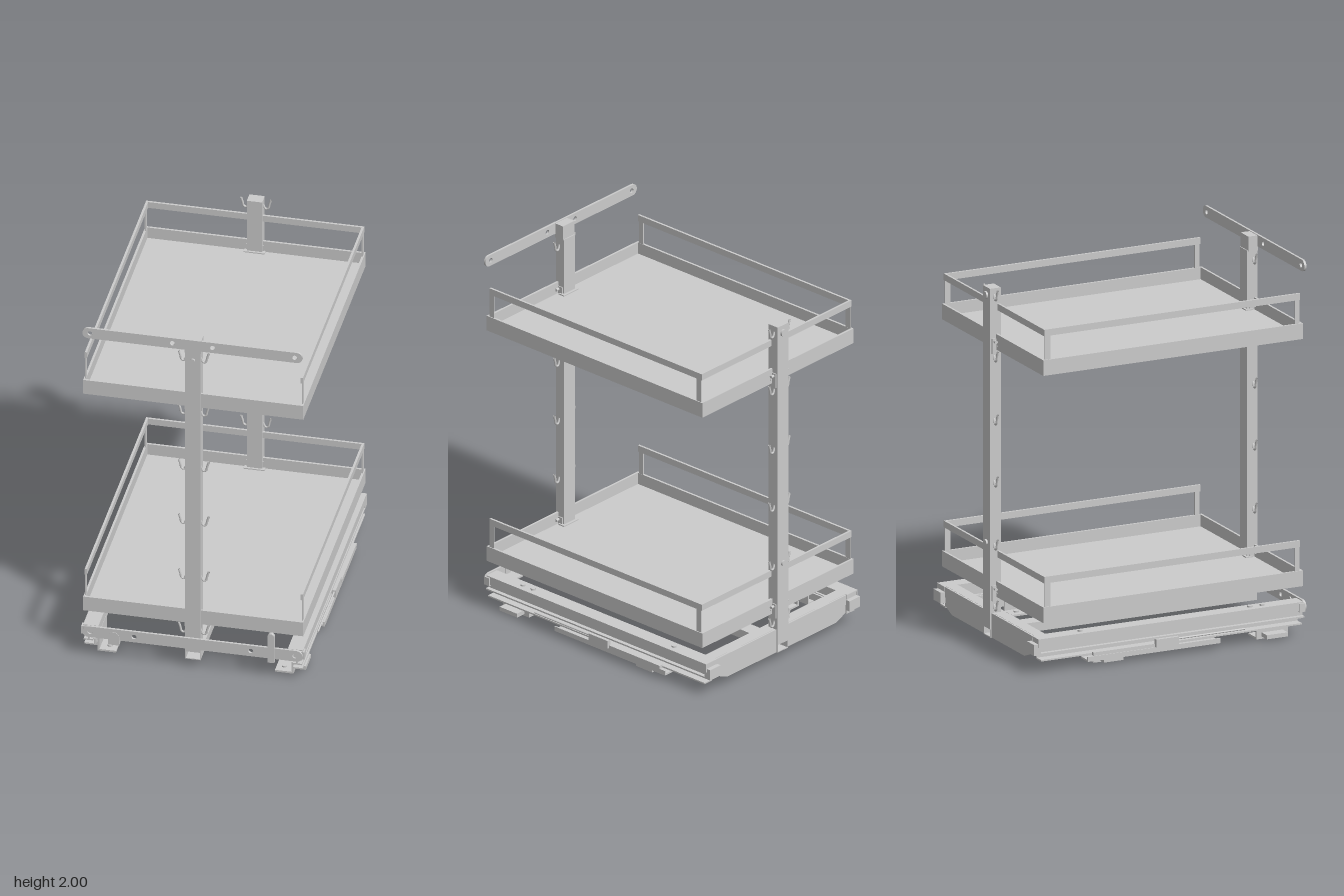
import * as THREE from 'three';

const mat = new THREE.MeshStandardMaterial({ color: 0xcccccc, side: THREE.DoubleSide });

function add(parent, name, geo, x = 0, y = 0, z = 0) {
  const m = new THREE.Mesh(geo, mat);
  m.name = name;
  m.position.set(x, y, z);
  parent.add(m);
  return m;
}

// Box given by its limits on each axis
function box(parent, name, x0, x1, y0, y1, z0, z1) {
  return add(parent, name, new THREE.BoxGeometry(Math.abs(x1 - x0), y1 - y0, z1 - z0),
    (x0 + x1) / 2, (y0 + y1) / 2, (z0 + z1) / 2);
}

// Outline in x/y pushed along z, with optional hole outlines
function prism(parent, name, pts, z0, z1, holes = []) {
  const s = new THREE.Shape(pts.map(p => new THREE.Vector2(...p)));
  for (const h of holes) s.holes.push(new THREE.Path(h.map(p => new THREE.Vector2(...p))));
  return add(parent, name, new THREE.ExtrudeGeometry(s, { depth: z1 - z0, bevelEnabled: false }), 0, 0, z0);
}

const rect = (x0, x1, y0, y1) => [[x0, y0], [x1, y0], [x1, y1], [x0, y1]];

// Flat bar with rounded ends and round holes
function roundedBar(parent, name, half, y0, y1, z0, z1, holeXs, holeR) {
  const r = (y1 - y0) / 2, c = (y0 + y1) / 2;
  const s = new THREE.Shape();
  s.absarc(half - r, c, r, -Math.PI / 2, Math.PI / 2, false);
  s.absarc(-half + r, c, r, Math.PI / 2, Math.PI * 1.5, false);
  s.closePath();
  for (const x of holeXs) {
    const h = new THREE.Path();
    h.absarc(x, c, holeR, 0, Math.PI * 2, true);
    s.holes.push(h);
  }
  add(parent, name, new THREE.ExtrudeGeometry(s, { depth: z1 - z0, bevelEnabled: false, curveSegments: 12 }), 0, 0, z0);
}

function cyl(parent, name, r, len, axis, x, y, z) {
  const m = add(parent, name, new THREE.CylinderGeometry(r, r, len, 16), x, y, z);
  if (axis === 'z') m.rotation.x = Math.PI / 2;
  if (axis === 'x') m.rotation.z = Math.PI / 2;
}

// Pair of upturned hooks, one on each side of a post
function hookPair(parent, y, z) {
  for (const s of [1, -1]) {
    const curve = new THREE.CatmullRomCurve3([[0.036, 0.005], [0.05, -0.022], [0.064, -0.018], [0.07, 0.005], [0.078, 0.032]]
      .map(([a, b]) => new THREE.Vector3(s * a, y + b, z)));
    add(parent, 'hook', new THREE.TubeGeometry(curve, 14, 0.006, 8));
  }
}

// Open tray with floor, four walls and a guard rail on three sides
function tray(parent, y) {
  const g = new THREE.Group();
  g.name = 'tray';
  g.position.y = y;
  parent.add(g);
  const X = 0.575, Z0 = -0.73, Z1 = 0.755, H = 0.083, T = 0.012;
  box(g, 'trayFloor', -X + T, X - T, 0.008, 0.02, Z0 + T, Z1 - T);
  box(g, 'frontWall', -X, X, 0, H, Z1 - T, Z1);
  box(g, 'backWall', -X, X, 0, H, Z0, Z0 + T);
  for (const s of [1, -1]) {
    box(g, 'sideWall', s * X, s * (X - T), 0, H, Z0 + T, Z1 - T);
    box(g, 'sideRail', s * 0.57, s * 0.558, 0.208, 0.243, -0.72, 0.74);
    box(g, 'frontRailSupport', s * 0.57, s * 0.564, H - 0.05, 0.215, 0.71, 0.738);
    box(g, 'backRailSupport', s * 0.57, s * 0.564, H - 0.05, 0.215, -0.718, -0.685);
  }
  box(g, 'backRail', -0.57, 0.57, 0.208, 0.243, -0.722, -0.71);
  // clips that hold the tray to the posts
  for (const e of [1, -1]) {
    const zi = e > 0 ? 0.692 : -0.692;
    box(g, 'trayClip', -0.055, 0.055, 0.018, 0.026, Math.min(zi, zi + e * 0.04), Math.max(zi, zi + e * 0.04));
    box(g, 'postBracket', -0.046, 0.046, -0.02, 0.06, e > 0 ? 0.715 : -0.755, e > 0 ? 0.757 : -0.715);
    for (const s of [1, -1]) cyl(g, 'clipScrew', 0.008, 0.025, 'x', s * 0.052, 0.045, e * 0.74);
  }
}

// Slide on one side; s is the sign of x
function slide(parent, s) {
  const g = new THREE.Group();
  g.name = 'slide';
  parent.add(g);
  const flip = pts => pts.map(([x, y]) => [s * x, y]);
  // top cover channel
  prism(g, 'topChannel', flip([[0.495, 0.135], [0.503, 0.135], [0.503, 0.178], [0.567, 0.178], [0.567, 0.14],
    [0.575, 0.14], [0.575, 0.186], [0.495, 0.186]]), -0.757, 0.757);
  // moving rail
  prism(g, 'movingRail', flip([[0.522, 0.1], [0.57, 0.1], [0.57, 0.108], [0.548, 0.108], [0.548, 0.13], [0.57, 0.13],
    [0.57, 0.14], [0.522, 0.14], [0.522, 0.13], [0.54, 0.13], [0.54, 0.108], [0.522, 0.108]]), -0.77, 0.765);
  // middle rail
  prism(g, 'middleRail', flip([[0.512, 0.065], [0.57, 0.065], [0.57, 0.073], [0.52, 0.073], [0.52, 0.095], [0.56, 0.095],
    [0.56, 0.104], [0.512, 0.104]]), -0.74, 0.75);
  // fixed rail
  prism(g, 'fixedRail', flip([[0.505, 0.032], [0.583, 0.032], [0.583, 0.058], [0.575, 0.058], [0.575, 0.042],
    [0.513, 0.042], [0.513, 0.11], [0.505, 0.11]]), -0.48, 0.28);
  box(g, 'damper', s * 0.57, s * 0.59, 0.062, 0.08, -0.45, -0.1);
  box(g, 'damperBlock', s * 0.565, s * 0.588, 0.058, 0.1, -0.09, 0.04);
  cyl(g, 'damperRod', 0.005, 0.4, 'z', s * 0.578, 0.088, 0.22);
  // feet
  for (const [z0, z1] of [[0.52, 0.7], [-0.41, -0.24]]) {
    prism(g, 'foot', flip([[0.415, 0], [0.512, 0], [0.512, 0.11], [0.502, 0.11], [0.502, 0.01], [0.415, 0.01]]), z0, z1);
    box(g, 'footPad', s * 0.512, s * 0.57, 0.012, 0.034, z0 + 0.03, z1 - 0.03);
    for (const z of [z0 + 0.045, z1 - 0.045]) cyl(g, 'footScrew', 0.014, 0.012, 'y', s * 0.455, 0.012, z);
  }
  // end stops and screws
  box(g, 'backStop', s * 0.49, s * 0.57, 0.1, 0.158, -0.78, -0.74);
  box(g, 'frontStop', s * 0.525, s * 0.583, 0.135, 0.18, 0.73, 0.765);
  for (const z of [-0.5, 0.47, 0.54]) cyl(g, 'railScrew', 0.013, 0.012, 'y', s * 0.535, 0.189, z);
}

export function createModel() {
  const model = new THREE.Group();
  model.name = 'pullOutShelfUnit';

  // posts and the hollow tube joining their feet
  const post = (name, y1, z0, z1) => box(model, name, -0.04, 0.04, 0.1, y1, z0, z1);
  post('frontPost', 1.92, 0.705, 0.763);
  post('backPost', 1.912, -0.765, -0.703);
  prism(model, 'bottomTube', rect(-0.04, 0.04, 0.055, 0.104), -0.762, 0.762, [rect(-0.036, 0.036, 0.06, 0.1)]);
  for (const z of [0.74, -0.74]) {
    for (const y of [0.225, 0.55, 0.885, 1.215, 1.55, 1.875]) hookPair(model, y, z);
  }

  // top cap and mounting bar
  box(model, 'postCap', -0.044, 0.044, 1.915, 1.995, 0.71, 0.764);
  roundedBar(model, 'topBar', 0.575, 1.937, 1.998, 0.762, 0.774, [-0.535, -0.105, 0.105, 0.535], 0.013);
  cyl(model, 'capScrew', 0.012, 0.012, 'z', 0, 1.87, 0.766);
  cyl(model, 'backPostBolt', 0.02, 0.014, 'z', 0, 1.87, -0.768);
  cyl(model, 'backPostBolt', 0.016, 0.014, 'z', 0, 0.555, -0.768);

  // trays
  tray(model, 0.27);
  tray(model, 1.585);

  // base frame
  roundedBar(model, 'frontBar', 0.575, 0.124, 0.188, 0.762, 0.774, [-0.535, -0.305, 0.305, 0.535], 0.013);
  prism(model, 'backCrossPlate', [[-0.41, 0.056], [-0.04, 0.056], [-0.04, 0.104], [0.04, 0.104], [0.04, 0.056], [0.41, 0.056],
    [0.485, 0.085], [0.485, 0.13], [0.57, 0.13], [0.57, 0.185], [-0.57, 0.185], [-0.57, 0.13], [-0.485, 0.13], [-0.485, 0.085]],
  -0.755, -0.742);
  box(model, 'backCrossFlange', -0.5, 0.5, 0.175, 0.186, -0.745, -0.68);
  slide(model, 1);
  slide(model, -1);

  // release lever and catch on the front bar
  box(model, 'leverPlate', 0.392, 0.428, 0.1, 0.255, 0.757, 0.777);
  cyl(model, 'leverTip', 0.018, 0.02, 'z', 0.41, 0.255, 0.767);
  box(model, 'catchPlate', -0.44, -0.382, 0.095, 0.145, 0.757, 0.777);
  cyl(model, 'catchDome', 0.029, 0.02, 'z', -0.411, 0.142, 0.767);
  for (const s of [1, -1]) box(model, 'frontCornerPlate', s * 0.37, s * 0.5, 0.125, 0.135, 0.69, 0.764);

  return model;
}
